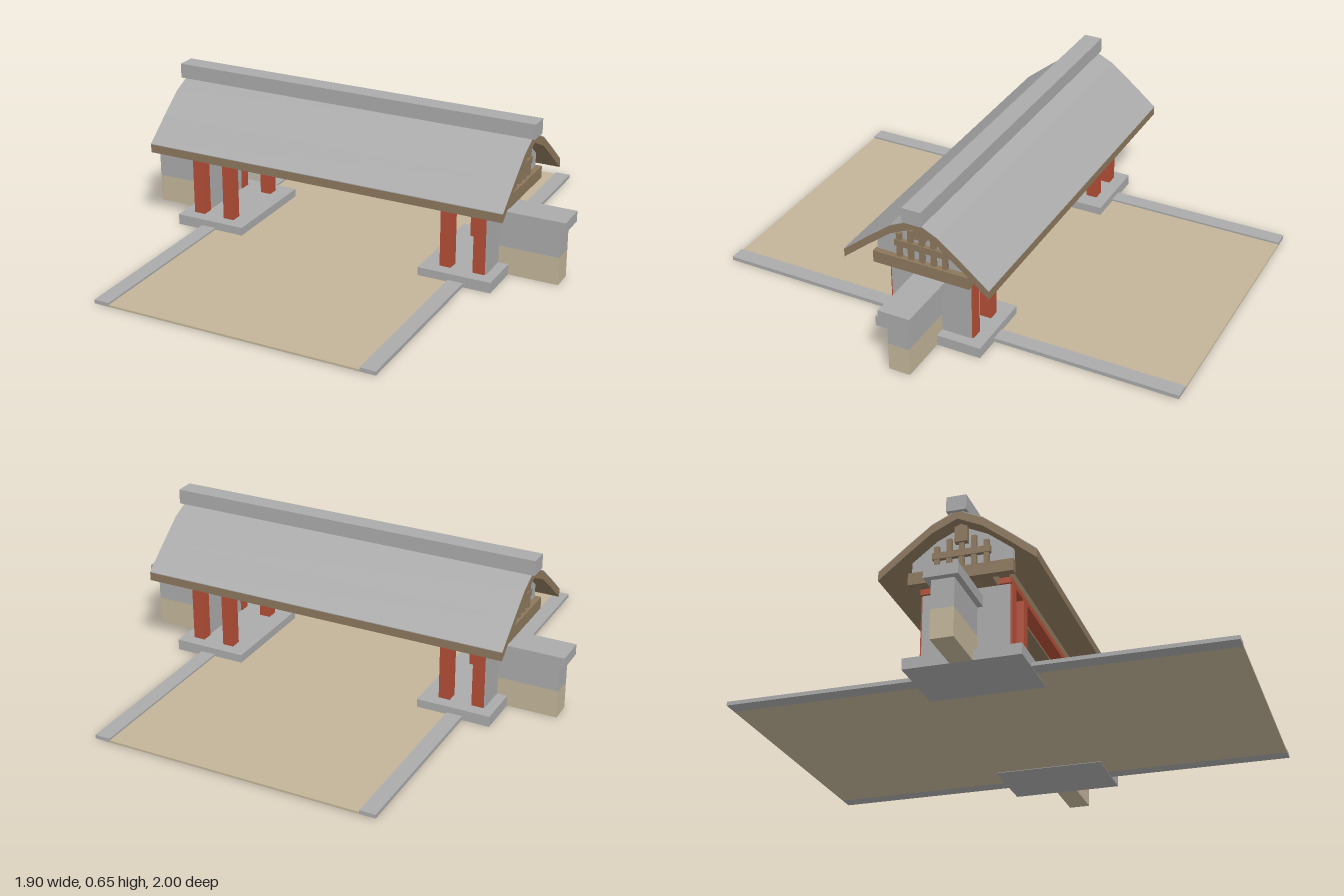
import * as THREE from 'three';

const mat = (name, color) => {
  const m = new THREE.MeshStandardMaterial({ color });
  m.name = name;
  return m;
};

export function createModel() {
  const group = new THREE.Group();
  const stone = mat('grey stone', 0xaaaaaa);
  const sand = mat('sand', 0xc2b498);
  const red = mat('red timber', 0xb24e36);
  const wood = mat('brown timber', 0x8c775c);

  const add = (name, geometry, material) => {
    const mesh = new THREE.Mesh(geometry, material);
    mesh.name = name;
    group.add(mesh);
    return mesh;
  };
  // Box given by its lower and upper limits on each axis
  const box = (name, material, x0, x1, y0, y1, z0, z1) => {
    const m = add(name, new THREE.BoxGeometry(Math.abs(x1 - x0), y1 - y0, Math.abs(z1 - z0)), material);
    m.position.set((x0 + x1) / 2, (y0 + y1) / 2, (z0 + z1) / 2);
    return m;
  };
  // Cross-section in (z, y) extruded along x from x0 to x1
  const extrudeX = (name, material, points, x0, x1) => {
    const shape = new THREE.Shape(points.map(([z, y]) => new THREE.Vector2(z, y)));
    const g = new THREE.ExtrudeGeometry(shape, { depth: x1 - x0, bevelEnabled: false });
    g.rotateY(Math.PI / 2).translate(x0, 0, 0);
    return add(name, g, material);
  };

  // Path and kerbs
  box('path', sand, -0.535, 0.535, 0.002, 0.01, -1, 1);
  for (const s of [-1, 1]) box('kerb', stone, s * 0.535, s * 0.6, 0.002, 0.018, -1, 1);

  // Roof: curved timber shell with a grey covering and ridge
  const half = [[0.31, 0.38], [0.2, 0.47], [0.1, 0.548]];
  const top = [...half, [0, 0.595], ...half.map(([z, y]) => [-z, y]).reverse()];
  const thick = 0.035;
  const under = top.map(([z, y]) => [z, y - thick]);
  extrudeX('roofShell', wood, [...top, ...under.slice().reverse()], -0.785, 0.785);
  extrudeX('roofCovering', stone,
    [...top.map(([z, y]) => [z, y + 0.003]), ...top.slice().reverse()], -0.785, 0.785);
  box('ridge', stone, -0.8, 0.8, 0.588, 0.65, -0.04, 0.04);
  box('ridgePurlin', wood, -0.745, 0.745, 0.485, 0.56, -0.025, 0.025);

  // Long beams over the columns
  for (const s of [-1, 1]) {
    box('redBeam', red, -0.68, 0.68, 0.316, 0.34, s * 0.13, s * 0.18);
    box('wallPlate', wood, -0.71, 0.71, 0.34, 0.38, s * 0.135, s * 0.175);
  }

  for (const s of [-1, 1]) {
    // Plinth, columns and end wall
    box('plinth', stone, s * 0.405, s * 0.715, 0, 0.045, -0.232, 0.232);
    for (const t of [-1, 1]) {
      box('innerColumn', red, s * 0.476, s * 0.524, 0.045, 0.318, t * 0.132, t * 0.18);
      box('outerColumn', red, s * 0.617, s * 0.667, 0.045, 0.318, t * 0.132, t * 0.18);
    }
    box('endWall', stone, s * 0.622, s * 0.672, 0.045, 0.315, -0.173, 0.173);

    // Side wall with a sandy base and a coping
    box('sideWallBase', sand, s * 0.665, s * 0.925, 0, 0.118, -0.045, 0.045);
    box('sideWallTop', stone, s * 0.665, s * 0.925, 0.118, 0.235, -0.045, 0.045);
    box('coping', stone, s * 0.665, s * 0.95, 0.235, 0.28, -0.067, 0.067);

    // Gable: panel, tie beam and lattice
    const arch = under.filter(([z]) => Math.abs(z) < 0.25);
    const x = s > 0 ? 0.7 : -0.72;
    extrudeX('gablePanel', stone, [...arch, [-0.2, 0.37], [0.2, 0.37]], x, x + 0.02);
    box('tieBeam', wood, s * 0.715, s * 0.745, 0.33, 0.38, -0.207, 0.207);
    box('latticeRail', wood, s * 0.715, s * 0.738, 0.428, 0.455, -0.115, 0.115);
    for (let i = -2; i <= 2; i++) {
      box('latticePost', wood, s * 0.715, s * 0.735, 0.375, 0.535 - 0.026 * Math.abs(i),
        i * 0.049 - 0.01, i * 0.049 + 0.01);
    }
  }
  return group;
}
